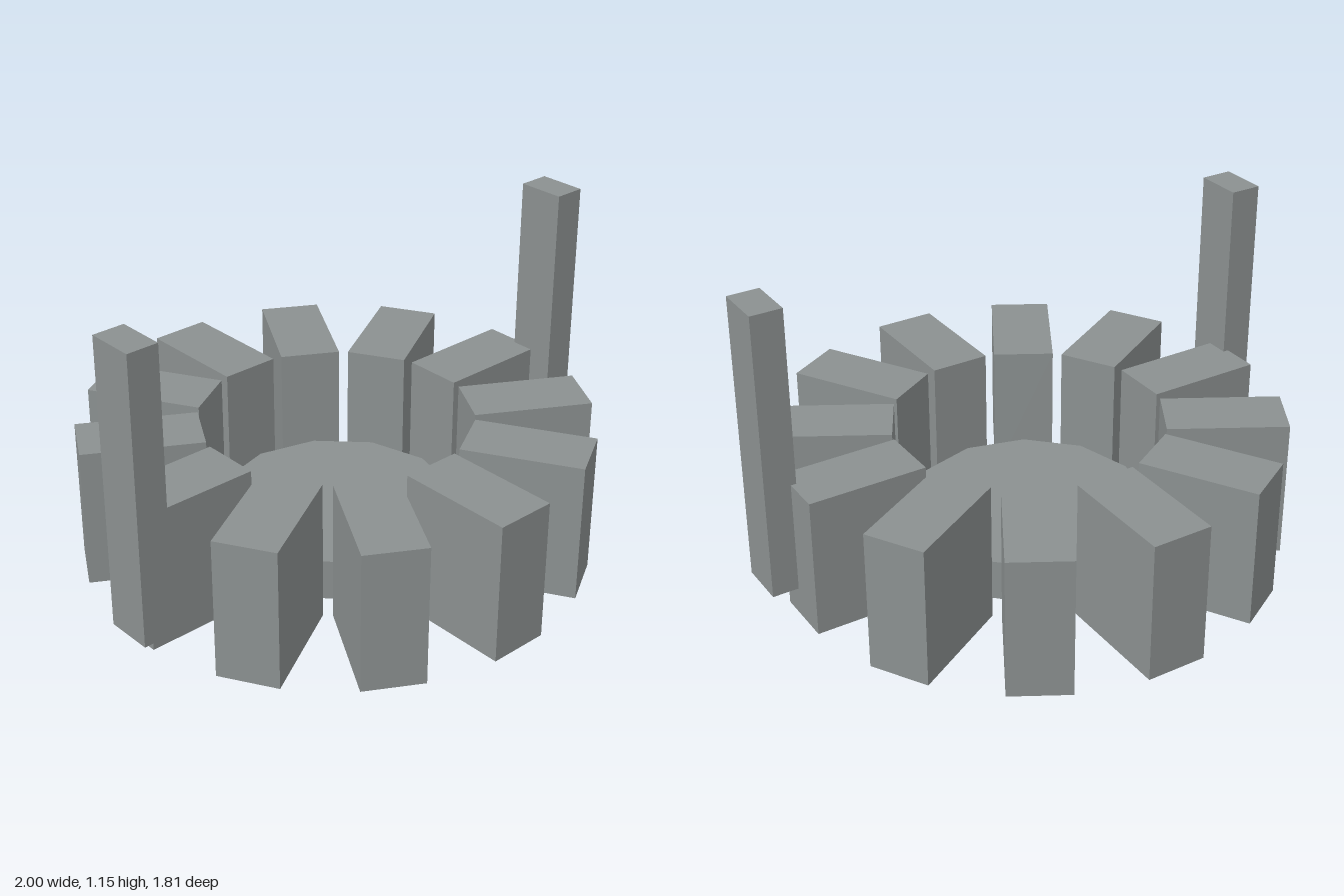
import * as THREE from 'three';

export function createModel() {
  const model = new THREE.Group();
  model.name = 'stoneRing';
  const stone = new THREE.MeshStandardMaterial({ color: 0x8b9090 });
  stone.name = 'stone grey';

  const add = (name, geometry, x, y, z, turn = 0) => {
    const mesh = new THREE.Mesh(geometry, stone);
    mesh.name = name;
    mesh.position.set(x, y, z);
    mesh.rotation.y = turn;
    model.add(mesh);
  };

  // Twelve-sided floor slab with corners on the axes
  const slab = new THREE.CylinderGeometry(0.43, 0.43, 0.15, 12).toNonIndexed();
  slab.computeVertexNormals();
  add('floorSlab', slab, 0, 0.095, 0);

  // Ring of radial blocks
  const block = new THREE.BoxGeometry(0.43, 0.515, 0.22);
  for (let i = 0; i < 12; i++) {
    const a = (i * Math.PI) / 6;
    add(`ringBlock${i + 1}`, block, 0.69 * Math.cos(a), 0.2575, -0.69 * Math.sin(a) - 0.003, a);
  }

  // Tall posts on both sides
  const post = new THREE.BoxGeometry(0.115, 1.05, 0.174);
  add('leftPost', post, 0.9425, 0.63, 0.111);
  add('rightPost', post, -0.9425, 0.63, 0.111);

  return model;
}
